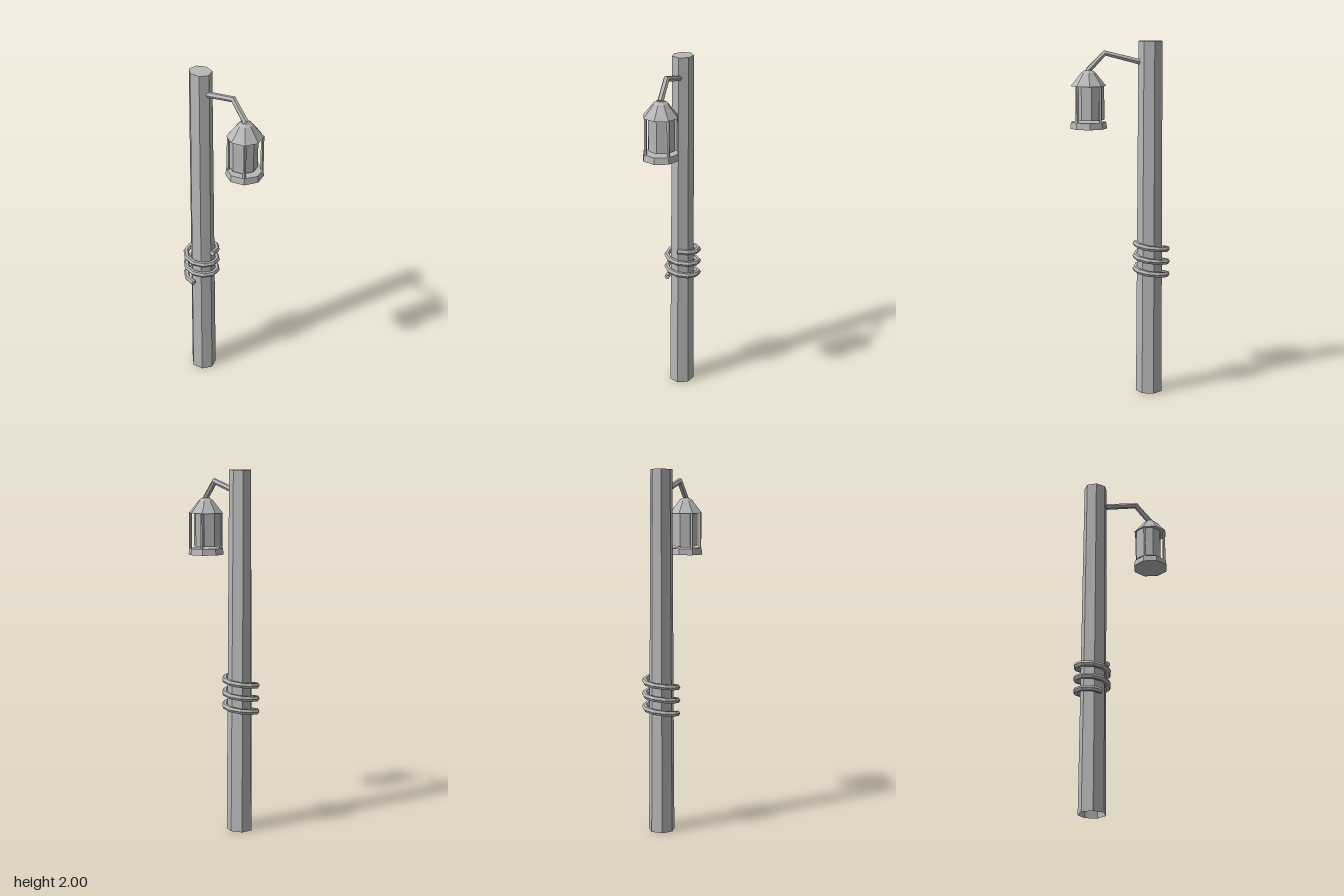
import * as THREE from 'three';

const greyMaterial = new THREE.MeshStandardMaterial({ color: 0xb8b8b8, flatShading: true, side: THREE.DoubleSide });
greyMaterial.name = 'grey';

function addPart(parent, name, geometry, x = 0, y = 0, z = 0) {
  const mesh = new THREE.Mesh(geometry, greyMaterial);
  mesh.name = name;
  mesh.position.set(x, y, z);
  parent.add(mesh);
  return mesh;
}

// Faceted bar along a path with mitred corners and closed ends; sideAt gives each ring's sideways axis
function sweep(path, radius, sides, sideAt) {
  const positions = [], index = [], last = path.length - 1;
  path.forEach((p, i) => {
    const into = path[Math.max(i, 1)].clone().sub(path[Math.max(i, 1) - 1]).normalize();
    const out = path[Math.min(i, last - 1) + 1].clone().sub(path[Math.min(i, last - 1)]).normalize();
    const tangent = into.add(out).normalize();
    const side = sideAt(p);
    side.addScaledVector(tangent, -side.dot(tangent)).normalize();
    const up = tangent.clone().cross(side);
    for (let j = 0; j < sides; j++) {
      const a = (j / sides) * Math.PI * 2;
      const v = p.clone().addScaledVector(side, radius * Math.cos(a)).addScaledVector(up, radius * Math.sin(a));
      positions.push(v.x, v.y, v.z);
    }
  });
  for (let i = 0; i < last; i++) {
    for (let j = 0; j < sides; j++) {
      const a = i * sides + j, b = i * sides + (j + 1) % sides;
      index.push(a, b, a + sides, b, b + sides, a + sides);
    }
  }
  for (let j = 1; j < sides - 1; j++) {
    const e = last * sides;
    index.push(0, j + 1, j, e, e + j, e + j + 1);
  }
  const geometry = new THREE.BufferGeometry();
  geometry.setAttribute('position', new THREE.Float32BufferAttribute(positions, 3));
  geometry.setIndex(index);
  geometry.computeVertexNormals();
  return geometry;
}

export function createModel() {
  const model = new THREE.Group();
  model.name = 'lampPost';

  // Tapered seven-sided post, open underneath, a little narrower front to back at the top
  const postX = -0.165;
  const post = new THREE.CylinderGeometry(0.068, 0.076, 2, 7, 1, true, Math.PI / 2);
  const pos = post.attributes.position;
  for (let i = 0; i < pos.count; i++) {
    pos.setZ(i, pos.getZ(i) * (pos.getY(i) > 0 ? 0.87 : 0.95));
  }
  post.computeVertexNormals();
  addPart(model, 'post', post, postX, 1, 0);
  const cap = new THREE.CircleGeometry(0.068, 7);
  cap.rotateX(-Math.PI / 2);
  cap.scale(1, 1, 0.87);
  addPart(model, 'postTop', cap, postX, 2, 0);

  // Rope wound almost three times round the post
  const ropeX = -0.173, perTurn = 10, ropePath = [];
  for (let i = 0; i <= 28; i++) {
    const a = (i / perTurn) * Math.PI * 2;
    ropePath.push(new THREE.Vector3(ropeX + 0.091 * Math.cos(a), 0.872 - 0.073 * i / perTurn, -0.091 * Math.sin(a)));
  }
  addPart(model, 'rope', sweep(ropePath, 0.016, 6, p => new THREE.Vector3(p.x - ropeX, 0, p.z)));

  // Bent arm from post to lantern
  const armPath = [[-0.13, 1.88], [0.088, 1.935], [0.182, 1.838]].map(([x, y]) => new THREE.Vector3(x, y, 0));
  addPart(model, 'arm', sweep(armPath, 0.017, 6, () => new THREE.Vector3(0, 0, 1)));

  // Lantern
  const lantern = new THREE.Group();
  lantern.name = 'lantern';
  lantern.position.x = 0.178;
  model.add(lantern);
  addPart(lantern, 'roof', new THREE.CylinderGeometry(0.04, 0.098, 0.072, 8), 0, 1.792, 0);
  addPart(lantern, 'roofCap', new THREE.CylinderGeometry(0.024, 0.04, 0.013, 8), 0, 1.8345, 0);
  addPart(lantern, 'lampBody', new THREE.CylinderGeometry(0.076, 0.076, 0.186, 8), -0.011, 1.664, 0);
  addPart(lantern, 'base', new THREE.CylinderGeometry(0.097, 0.102, 0.036, 8), 0, 1.541, 0);
  for (const x of [-0.06, 0.062]) {
    for (const z of [-0.065, 0.062]) {
      addPart(lantern, 'cornerRod', new THREE.BoxGeometry(0.012, 0.206, 0.012), x, 1.657, z);
    }
  }
  return model;
}
